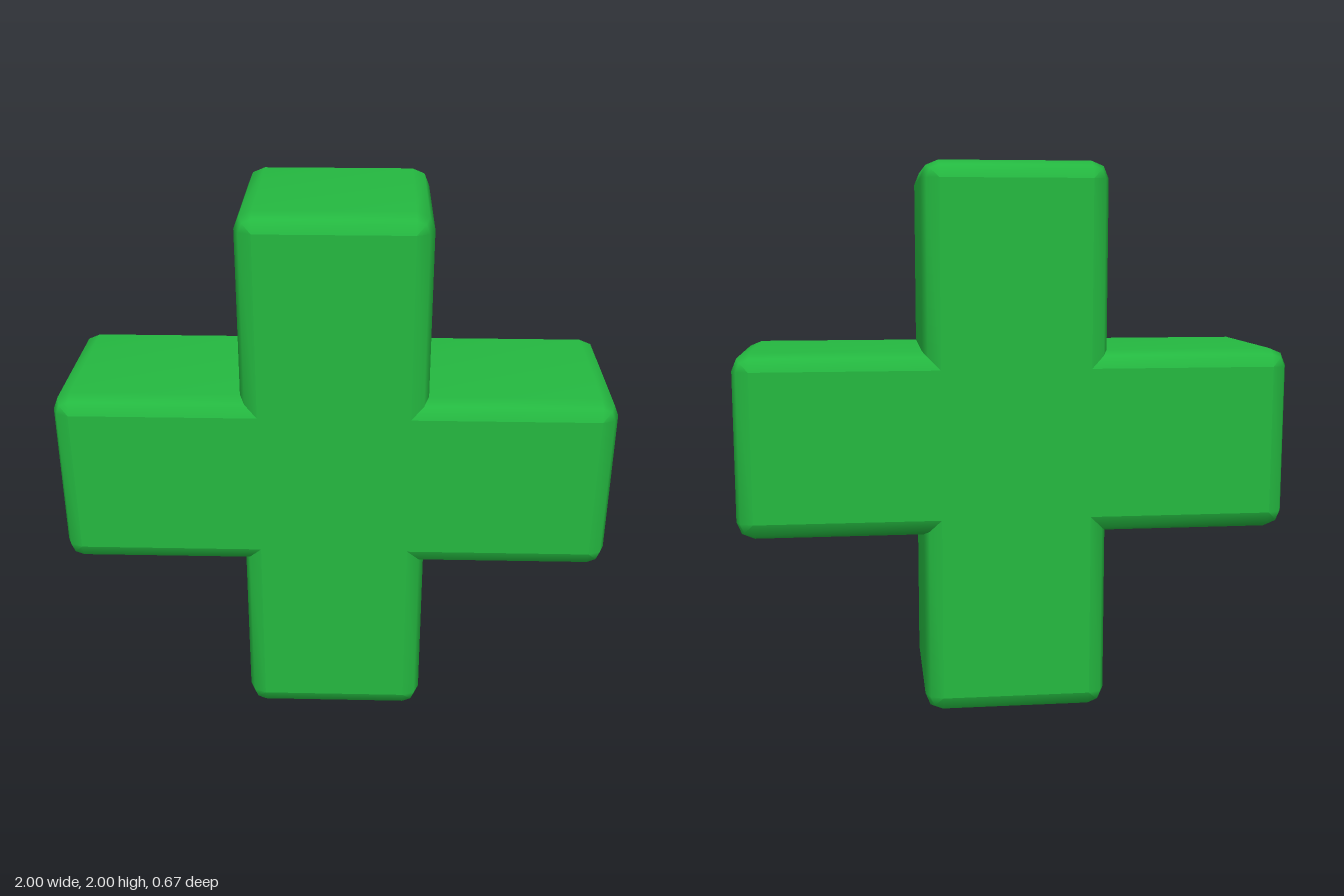
import * as THREE from 'three';

const W = 0.333;      // half thickness of every arm
const R = 0.063;      // edge rounding
const C = W - R;      // half width of the flat face
const L = 1 - R;      // reach of the flat face
const STEPS = 2;      // segments per rounded edge

// Rounded side wall of one arm, pointing along +x
function armGeometry() {
  const cols = [[C, -C, 1, -1]];
  for (const [y, start] of [[-C, -Math.PI / 2], [C, 0]]) {
    for (let s = 0; s <= STEPS; s++) {
      const phi = start + (s / STEPS) * Math.PI / 2;
      cols.push([L, y, Math.cos(phi), Math.sin(phi)]);
    }
  }
  cols.push([C, C, 1, 1]);

  // Each row follows the outline, swelling from the back face to the front
  const rows = [];
  for (const [z, start] of [[-C, -Math.PI / 2], [C, 0]]) {
    for (let s = 0; s <= STEPS; s++) {
      const a = start + (s / STEPS) * Math.PI / 2;
      rows.push([R * Math.cos(a), z + R * Math.sin(a)]);
    }
  }

  const positions = [];
  const index = [];
  const n = cols.length;
  rows.forEach(([grow, z], i) => {
    cols.forEach(([x, y, dx, dy], j) => {
      positions.push(x + dx * grow, y + dy * grow, z);
      if (i < rows.length - 1 && j < n - 1) {
        const a = i * n + j;
        index.push(a, a + 1, a + n + 1, a, a + n + 1, a + n);
      }
    });
  });
  const geometry = new THREE.BufferGeometry();
  geometry.setAttribute('position', new THREE.Float32BufferAttribute(positions, 3));
  geometry.setIndex(index);
  geometry.computeVertexNormals();
  return geometry;
}

// Flat plus-shaped face
function faceGeometry() {
  const points = [];
  for (let k = 0; k < 4; k++) {
    for (const [x, y] of [[L, -C], [L, C], [C, C]]) {
      points.push(new THREE.Vector2(x, y).rotateAround(new THREE.Vector2(), k * Math.PI / 2));
    }
  }
  return new THREE.ShapeGeometry(new THREE.Shape(points));
}

export function createModel() {
  const green = new THREE.MeshStandardMaterial({ color: 0x24b840 });
  green.name = 'green';
  const group = new THREE.Group();
  group.name = 'plusSign';

  // Four arms around the centre
  const arm = armGeometry();
  ['leftArm', 'topArm', 'rightArm', 'bottomArm'].forEach((name, k) => {
    const mesh = new THREE.Mesh(arm, green);
    mesh.name = name;
    mesh.position.y = 1;
    mesh.rotation.z = k * Math.PI / 2;
    group.add(mesh);
  });

  // Front and back faces
  const face = faceGeometry();
  ['frontFace', 'backFace'].forEach((name, k) => {
    const mesh = new THREE.Mesh(face, green);
    mesh.name = name;
    mesh.position.set(0, 1, k ? -W : W);
    mesh.rotation.y = k * Math.PI;
    group.add(mesh);
  });
  return group;
}
